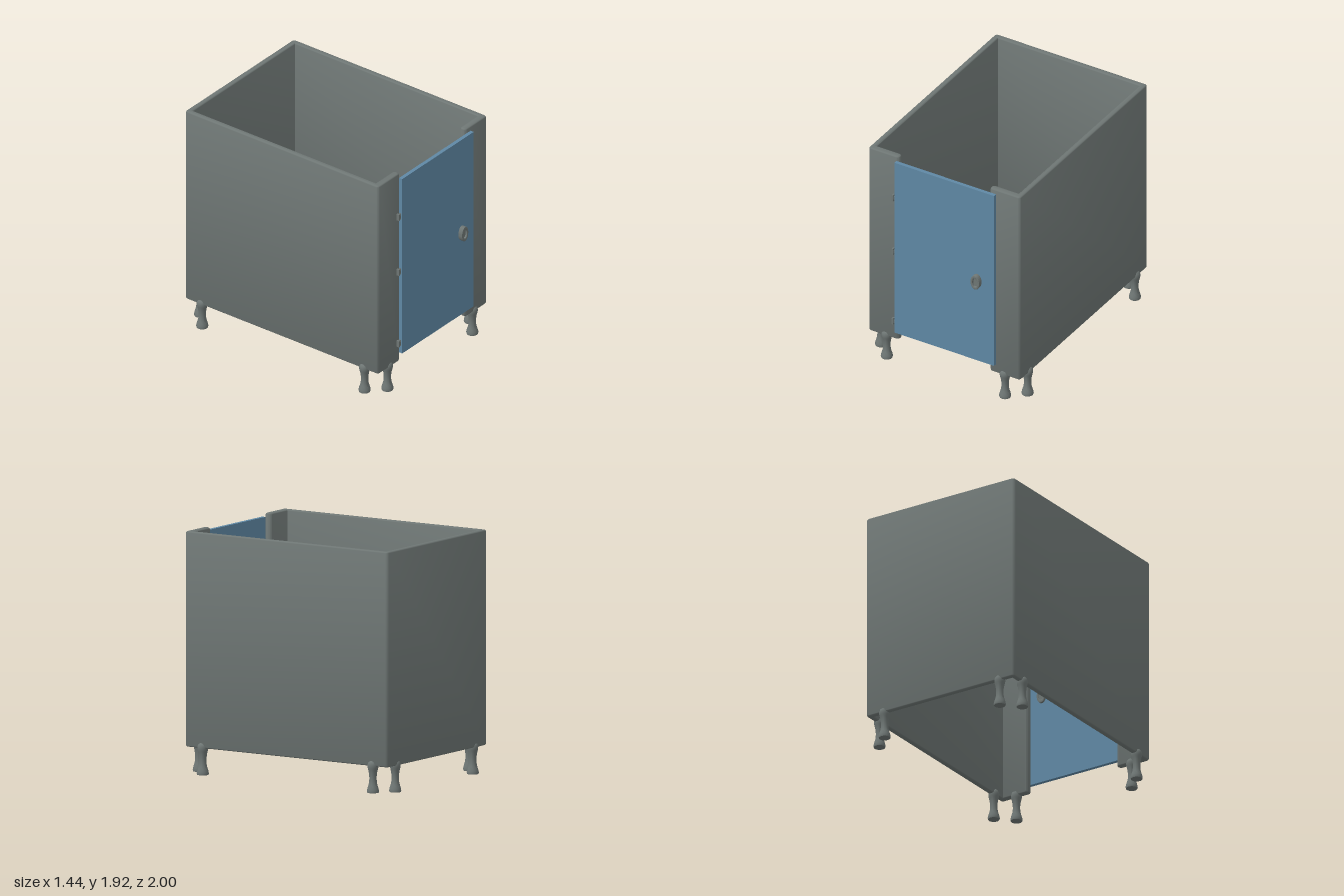
import * as THREE from 'three';
import { toCreasedNormals } from 'three/addons/utils/BufferGeometryUtils.js';

const grey = new THREE.MeshStandardMaterial({ color: 0x6e7674 });
grey.name = 'panel grey';
const blue = new THREE.MeshStandardMaterial({ color: 0x5f88a4 });
blue.name = 'door blue';

function add(parent, name, geometry, material, x = 0, y = 0, z = 0) {
  const mesh = new THREE.Mesh(geometry, material);
  mesh.name = name;
  mesh.position.set(x, y, z);
  parent.add(mesh);
}

// Closed outline from [x, y, cornerRadius] points, with round right-angled corners
function roundedOutline(points) {
  const shape = new THREE.Shape();
  const n = points.length;
  points.forEach(([x, y, r], i) => {
    const p = new THREE.Vector2(x, y);
    const toward = ([qx, qy], d) =>
      new THREE.Vector2(qx, qy).sub(p).normalize().multiplyScalar(d).add(p);
    const before = points[(i + n - 1) % n];
    const after = points[(i + 1) % n];
    const a = toward(before, r), b = toward(after, r);
    const ca = toward(before, r * 0.448), cb = toward(after, r * 0.448);
    if (i === 0) shape.moveTo(a.x, a.y);
    else shape.lineTo(a.x, a.y);
    if (r > 0) shape.bezierCurveTo(ca.x, ca.y, cb.x, cb.y, b.x, b.y);
  });
  return shape;
}

function ellipse(rx, ry, Type = THREE.Shape) {
  return new Type().absellipse(0, 0, rx, ry, 0, Math.PI * 2, false, 0);
}

export function createModel() {
  const model = new THREE.Group();
  model.name = 'cubicle';

  // Walls: one C-shaped plan (shape y is -z) raised with softened rims
  const bottom = 0.211, top = 1.917, rim = 0.017;
  const plan = roundedOutline([
    [0.415, -0.929, 0.028], [0.697, -0.929, 0.026], [0.697, 0.985, 0.026],
    [-0.697, 0.985, 0.026], [-0.697, -0.929, 0.026], [-0.415, -0.929, 0.028],
    [-0.415, -0.868, 0.028], [-0.648, -0.868, 0], [-0.648, 0.935, 0],
    [0.648, 0.935, 0], [0.648, -0.868, 0], [0.415, -0.868, 0.028],
  ]);
  const walls = new THREE.ExtrudeGeometry(plan, {
    depth: top - bottom - 2 * rim, curveSegments: 6,
    bevelEnabled: true, bevelSize: rim, bevelThickness: rim,
    bevelOffset: -rim, bevelSegments: 4,
  });
  walls.rotateX(-Math.PI / 2);
  add(model, 'walls', toCreasedNormals(walls, 0.7), grey, 0, bottom + rim, 0);

  // Door
  add(model, 'door', new THREE.BoxGeometry(0.914, 1.585, 0.031), blue, 0.022, 1.0885, 0.9475);

  // Oval handle passing through the door, with a recessed face
  const handle = new THREE.Group();
  handle.name = 'handle';
  handle.position.set(0.324, 1.038, 0.92);
  model.add(handle);
  const ring = ellipse(0.036, 0.059);
  ring.holes.push(ellipse(0.027, 0.044, THREE.Path));
  const ringGeometry = new THREE.ExtrudeGeometry(ring, {
    depth: 0.075, curveSegments: 24,
    bevelSize: 0.005, bevelThickness: 0.005, bevelSegments: 2,
  });
  add(handle, 'handleRing', toCreasedNormals(ringGeometry, 0.6), grey);
  for (const [name, rx, ry, depth] of [
    ['handleCore', 0.02, 0.036, 0.066], ['handleRecess', 0.03, 0.048, 0.055],
  ]) {
    const plug = new THREE.ExtrudeGeometry(ellipse(rx, ry), {
      depth, curveSegments: 24, bevelEnabled: false,
    });
    add(handle, name, toCreasedNormals(plug, 0.6), grey);
  }

  // Hinges: a leaf on the wall and a pin reaching to the door
  for (const y of [0.387, 1.037, 1.537]) {
    const hinge = new THREE.Group();
    hinge.name = 'hinge';
    hinge.position.set(-0.45, y, 0.942);
    model.add(hinge);
    add(hinge, 'hingeLeaf', new THREE.BoxGeometry(0.014, 0.054, 0.03), grey, -0.008, 0, -0.002);
    add(hinge, 'hingePin', new THREE.BoxGeometry(0.02, 0.026, 0.016), grey, 0.007, 0, 0);
    add(hinge, 'hingeDoorLeaf', new THREE.BoxGeometry(0.008, 0.054, 0.016), grey, 0.012, 0, 0);
  }

  // Turned feet: a pair at every corner
  const profile = new THREE.SplineCurve([
    [0.048, 0.012], [0.043, 0.035], [0.032, 0.075], [0.029, 0.12], [0.034, 0.165],
    [0.043, 0.205], [0.039, 0.235], [0.02, 0.257], [0, 0.263],
  ].map(([r, y]) => new THREE.Vector2(r, y))).getPoints(24);
  const footGeometry = toCreasedNormals(new THREE.LatheGeometry([
    new THREE.Vector2(0, 0), new THREE.Vector2(0.045, 0), ...profile,
  ], 24), 0.8);
  for (const side of [-1, 1]) {
    for (const [x, z] of [[0.542, 0.9], [0.672, 0.775], [0.672, -0.83], [0.542, -0.952]]) {
      add(model, 'foot', footGeometry, grey, side * x, 0, z);
    }
  }

  return model;
}
